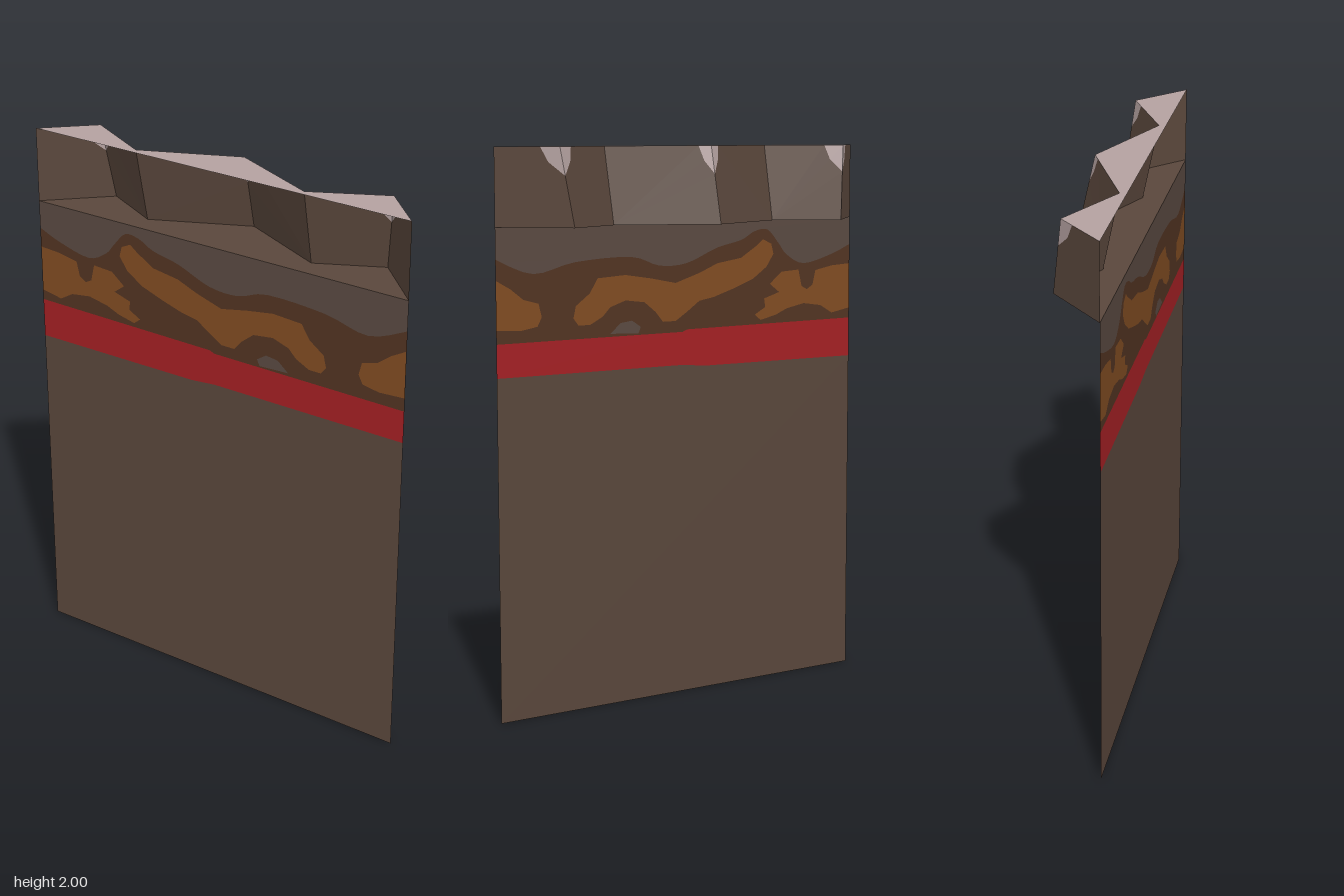
import * as THREE from 'three';

const mat = (name, color) => {
  const m = new THREE.MeshStandardMaterial({ color, side: THREE.DoubleSide, flatShading: true });
  m.name = name;
  return m;
};

export function createModel() {
  const stone = mat('brown stone', 0x5a473c);
  const greyStone = mat('grey brown stone', 0x5a4a42);
  const pale = mat('pale stone', 0xb5a2a1);
  const darkBrown = mat('dark brown', 0x523422);
  const ochre = mat('ochre', 0x814c22);
  const red = mat('red band', 0xa52024);

  const group = new THREE.Group();
  const add = (name, geometry, material) => {
    const mesh = new THREE.Mesh(geometry, material);
    mesh.name = name;
    group.add(mesh);
  };

  const BACK = -0.12, HALF = 0.768, LEDGE = 1.728, TOP = 2;
  const vec = (pts) => pts.map(([x, y]) => new THREE.Vector2(x, y));

  // Flat wall region facing +x; points are [-z, y]
  const wall = (name, pts, material, holes = []) => {
    const shape = new THREE.Shape(vec(pts));
    holes.forEach((h) => shape.holes.push(new THREE.Path(vec(h))));
    const g = new THREE.ShapeGeometry(shape);
    g.rotateY(Math.PI / 2);
    g.translate(BACK, 0, 0);
    add(name, g, material);
  };

  // Boundaries between the wall's layers, running from +z to -z
  const redBottom = [[-HALF, 1.213], [0, 1.212], [0.1, 1.203], [HALF, 1.2]];
  const redTop = [[-HALF, 1.33], [0, 1.332], [0.02, 1.34], [HALF, 1.345]];
  const wave = new THREE.SplineCurve(vec([
    [-HALF, 1.62], [-0.62, 1.565], [-0.45, 1.6], [-0.22, 1.61], [-0.1, 1.575],
    [0.02, 1.58], [0.15, 1.63], [0.26, 1.655], [0.32, 1.685], [0.38, 1.69],
    [0.43, 1.64], [0.47, 1.595], [0.55, 1.56], [0.68, 1.59], [HALF, 1.625],
  ])).getPoints(56).map((p) => [p.x, p.y]);
  const between = (low, high) => [...low, ...[...high].reverse()];

  // Irregular patches set into the dark brown layer
  const patches = [
    [[-0.766, 1.547], [-0.71, 1.516], [-0.66, 1.478], [-0.6, 1.462], [-0.588, 1.415],
      [-0.605, 1.383], [-0.67, 1.372], [-0.766, 1.378]],
    [[-0.46, 1.404], [-0.45, 1.447], [-0.392, 1.489], [-0.36, 1.54], [-0.244, 1.547],
      [-0.138, 1.531], [-0.03, 1.51], [0.074, 1.542], [0.154, 1.574], [0.26, 1.59],
      [0.33, 1.632], [0.36, 1.655], [0.398, 1.637], [0.408, 1.6], [0.376, 1.553],
      [0.313, 1.51], [0.223, 1.478], [0.138, 1.452], [0.074, 1.441], [0.02, 1.404],
      [-0.03, 1.373], [-0.085, 1.373], [-0.117, 1.41], [-0.164, 1.447], [-0.244, 1.457],
      [-0.308, 1.436], [-0.34, 1.404], [-0.392, 1.378], [-0.44, 1.378]],
    [[0.323, 1.378], [0.371, 1.404], [0.366, 1.436], [0.435, 1.457], [0.392, 1.489],
      [0.445, 1.532], [0.525, 1.537], [0.54, 1.475], [0.565, 1.462], [0.592, 1.478],
      [0.605, 1.532], [0.684, 1.547], [0.766, 1.552], [0.766, 1.383], [0.684, 1.368],
      [0.63, 1.399], [0.55, 1.41], [0.47, 1.394], [0.42, 1.373], [0.35, 1.357]],
    [[-0.308, 1.342], [-0.265, 1.378], [-0.217, 1.384], [-0.18, 1.36], [-0.19, 1.337]],
  ];

  wall('lowerWall', between([[-HALF, 0], [HALF, 0]], redBottom), stone);
  wall('redStripe', between(redBottom, redTop), red);
  wall('paintedLayer', between(redTop, wave), darkBrown, patches);
  patches.forEach((p, i) => wall('patch' + (i + 1), p, i < 3 ? ochre : greyStone));
  wall('upperWall', between(wave, [[-HALF, LEDGE], [HALF, LEDGE]]), greyStone);

  // Zigzag outlines of the jagged crest as [x, z], mirrored about z = 0
  const mirror = (half, mid) => [...half, mid, ...[...half].reverse().map(([x, z]) => [x, -z])];
  const upper = mirror([[BACK, HALF], [0.04, 0.605], [-0.095, 0.345]], [0.06, 0]);
  const lower = mirror([[BACK, HALF], [0.075, 0.57], [-0.04, 0.342]], [0.12, 0]);

  const level = (name, outline, y, material) => {
    const g = new THREE.ShapeGeometry(new THREE.Shape(vec(outline.map(([x, z]) => [x, -z]))));
    g.rotateX(-Math.PI / 2);
    g.translate(0, y, 0);
    add(name, g, material);
  };
  level('crestTop', upper, TOP, pale);
  level('crestUnderside', lower, LEDGE, stone);

  // Crest faces: each runs from a recess (s = 0) to a tip (s = 1) with a pale chip at the tip
  const mix = THREE.MathUtils.lerp;
  const stonePos = [], chipPos = [];
  for (let i = 0; i < 6; i++) {
    const a = i % 2 ? i + 1 : i, b = i % 2 ? i : i + 1;
    const at = ([s, t]) => [
      mix(mix(upper[a][0], upper[b][0], s), mix(lower[a][0], lower[b][0], s), t),
      mix(TOP, LEDGE, t),
      mix(mix(upper[a][1], upper[b][1], s), mix(lower[a][1], lower[b][1], s), t),
    ];
    const fan = (target, pts) => {
      for (let k = 1; k < pts.length - 1; k++) {
        const tri = [pts[0], pts[k], pts[k + 1]];
        if (i % 2) tri.reverse();
        tri.forEach((p) => target.push(...at(p)));
      }
    };
    const width = b === 3 ? 0.12 : i === 0 || i === 5 ? 0.3 : 0.24;
    const edge = [1 - width, 0], bend = [1 - width * 0.7, 0.19], tip = [1, 0.36];
    fan(stonePos, [[0, 1], [1, 1], tip, bend, edge, [0, 0]]);
    fan(chipPos, [[1, 0], edge, bend, tip]);
  }
  const faces = (name, pos, material) => {
    const g = new THREE.BufferGeometry();
    g.setAttribute('position', new THREE.Float32BufferAttribute(pos, 3));
    g.computeVertexNormals();
    add(name, g, material);
  };
  faces('crestFaces', stonePos, stone);
  faces('crestChips', chipPos, pale);

  return group;
}
